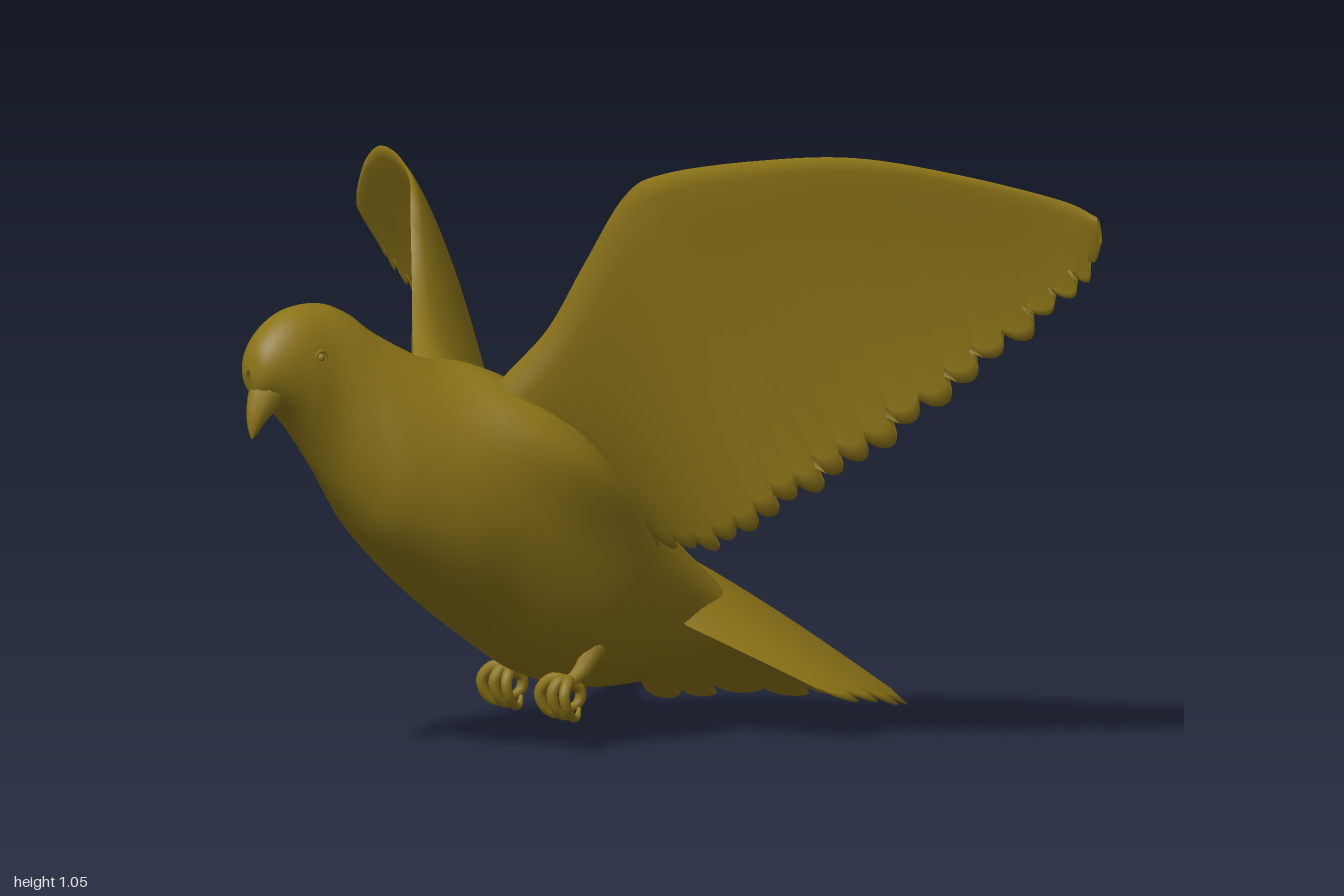
import * as THREE from 'three';

const material = new THREE.MeshStandardMaterial({ color: 0x8b7317, side: THREE.DoubleSide });
const V = (p) => new THREE.Vector3(...p);
const spline = (pts) => new THREE.CatmullRomCurve3(pts.map(V), false, 'catmullrom', 0.5);
const bell = (x, centre, width) => Math.exp(-(((x - centre) / width) ** 2));

// Smooth skin over rings: fn(u, v) gives a point, v wraps round
function loft(name, nu, nv, fn) {
  const pos = [], idx = [];
  for (let i = 0; i <= nu; i++)
    for (let j = 0; j < nv; j++) pos.push(...fn(i / nu, j / nv).toArray());
  for (let i = 0; i < nu; i++)
    for (let j = 0; j < nv; j++) {
      const a = i * nv + j, b = i * nv + (j + 1) % nv;
      idx.push(a, b, a + nv, b, b + nv, a + nv);
    }
  const g = new THREE.BufferGeometry();
  g.setAttribute('position', new THREE.Float32BufferAttribute(pos, 3));
  g.setIndex(idx);
  g.computeVertexNormals();
  const m = new THREE.Mesh(g, material);
  m.name = name;
  return m;
}

// Round limb along a path, radius given by a function of u
function limb(name, pts, radius, nu = 16, nv = 10) {
  const c = spline(pts), f = c.computeFrenetFrames(nu);
  return loft(name, nu, nv, (u, v) => {
    const i = Math.round(u * nu), a = -v * Math.PI * 2, r = radius(u);
    return c.getPointAt(u)
      .addScaledVector(f.normals[i], r * Math.cos(a))
      .addScaledVector(f.binormals[i], r * Math.sin(a));
  });
}

// Thin feathered sheet between a leading and a trailing edge, with scalloped feather tips
function feathered(name, lead, trail, { side = 1, feathers, notch, thick, camber, splay }) {
  const A = spline(lead), B = spline(trail), n = 18;
  return loft(name, feathers * 8, n * 2, (u, w) => {
    const a = A.getPoint(u), b = B.getPoint(u);
    const span = B.getPoint(Math.min(1, u + 0.01)).sub(B.getPoint(Math.max(0, u - 0.01)))
      .add(A.getTangent(u).multiplyScalar(0.02)).normalize();
    const chord = b.clone().sub(a), dir = chord.clone().normalize();
    const normal = span.clone().cross(dir).normalize().multiplyScalar(side);
    const v = 1 - Math.abs(1 - 2 * w), top = w < 0.5 ? 1 : -1;
    const f = (u * feathers) % 1, k = Math.floor(u * feathers);
    const uneven = 0.006 * Math.sin(k * 2.4);
    const cut = (notch(u) * (Math.sqrt(Math.sin(Math.PI * f)) - 1) + uneven) * v ** 8;
    const h = thick(u) * 2.5 * Math.sqrt(v) * (1 - v) + 0.002 * Math.min(1, v * 8);
    const ridge = 0.0012 * Math.sin(Math.PI * f) * v ** 4 * (1 - v) * 4;
    return a.addScaledVector(chord, v)
      .addScaledVector(dir, cut).addScaledVector(span, cut * splay(u))
      .addScaledVector(normal, top * h + ridge + camber(u) * 4 * v * (1 - v));
  });
}

export function createModel() {
  const bird = new THREE.Group();
  bird.name = 'bird';

  // Body and head: z, top, bottom, centre x, half width, narrowing towards the top
  const stations = [
    [0.65, 0.69, 0.675, 0.07, 0.006, 0], [0.638, 0.73, 0.645, 0.068, 0.034, 0],
    [0.605, 0.765, 0.62, 0.066, 0.054, 0], [0.56, 0.787, 0.578, 0.065, 0.066, 0],
    [0.5, 0.79, 0.495, 0.066, 0.073, 0], [0.45, 0.77, 0.425, 0.07, 0.096, 0.2],
    [0.4, 0.733, 0.363, 0.075, 0.124, 0.24], [0.3, 0.682, 0.268, 0.075, 0.162, 0.06],
    [0.2, 0.662, 0.19, 0.075, 0.18, -0.08], [0.1, 0.61, 0.123, 0.08, 0.18, -0.1],
    [0, 0.527, 0.09, 0.084, 0.172, -0.12], [-0.1, 0.428, 0.083, 0.082, 0.15, -0.17],
    [-0.2, 0.33, 0.09, 0.08, 0.118, -0.25], [-0.3, 0.24, 0.112, 0.08, 0.085, -0.25],
    [-0.4, 0.165, 0.14, 0.08, 0.02, 0]];
  const profile = spline(stations.map((s) => s.slice(0, 3)));
  const widths = spline(stations.map((s) => s.slice(3)));
  bird.add(loft('body', 84, 48, (u, v) => {
    const p = profile.getPoint(u), w = widths.getPoint(u), a = v * Math.PI * 2;
    const c = Math.cos(a), s = Math.sin(a);
    // shoulders swell out to meet the wings
    const shoulder = 0.062 * bell(p.x, 0.1, 0.14) * bell(s, 0.68, 0.42) * Math.tanh(c * 4);
    return new THREE.Vector3(w.x + w.y * c * (1 - w.z * s) + shoulder,
      (p.y + p.z) / 2 + (p.y - p.z) / 2 * s, p.x);
  }));

  // Beak
  bird.add(limb('beak', [[0.068, 0.668, 0.585], [0.074, 0.645, 0.615], [0.081, 0.61, 0.64], [0.086, 0.573, 0.654]],
    (u) => 0.042 * (1 - u) ** 0.75 + 0.001));

  // Eyes, each with a lid ring
  for (const s of [-1, 1]) {
    const eye = new THREE.Mesh(new THREE.SphereGeometry(0.007, 12, 8), material);
    eye.name = 'eye';
    eye.position.set(0.065 + s * 0.062, 0.708, 0.54);
    const lid = new THREE.Mesh(new THREE.TorusGeometry(0.011, 0.003, 6, 16), material);
    lid.name = 'eyelid';
    lid.position.copy(eye.position).setX(0.065 + s * 0.0635);
    lid.rotation.y = Math.PI / 2;
    bird.add(eye, lid);
  }

  // Wings, rooted deep in the shoulders, the left one raised higher
  const wing = {
    feathers: 24,
    notch: (u) => 0.016 + 0.026 * u,
    thick: (u) => 0.004 + 0.042 * (1 - u) ** 3 + 0.04 * Math.exp(-8 * u),
    camber: (u) => 0.02 * Math.sin(Math.PI * Math.min(1, u * 1.05)),
    splay: (u) => 0.7 * u,
  };
  bird.add(feathered('leftWing',
    [[0.09, 0.5, 0.25], [0.175, 0.635, 0.21], [0.24, 0.735, 0.15], [0.28, 0.85, 0.1], [0.32, 0.965, 0.045],
      [0.37, 1.005, 0], [0.5, 1.035, -0.1], [0.65, 1.05, -0.2], [0.8, 1.03, -0.31], [0.94, 0.995, -0.42], [1, 0.97, -0.455]],
    [[0.1, 0.3, 0], [0.2, 0.35, -0.055], [0.275, 0.34, -0.1], [0.355, 0.355, -0.145], [0.435, 0.415, -0.19],
      [0.52, 0.475, -0.24], [0.62, 0.545, -0.29], [0.73, 0.64, -0.35], [0.84, 0.74, -0.41], [0.94, 0.83, -0.455], [0.99, 0.9, -0.475]],
    { ...wing, side: 1 }));
  bird.add(feathered('rightWing',
    [[0.08, 0.5, 0.25], [-0.02, 0.625, 0.23], [-0.095, 0.695, 0.19], [-0.17, 0.77, 0.14], [-0.23, 0.86, 0.1],
      [-0.29, 0.92, 0.06], [-0.45, 0.93, -0.03], [-0.63, 0.915, -0.12], [-0.8, 0.86, -0.21], [-0.95, 0.785, -0.3], [-1, 0.755, -0.335]],
    [[0.07, 0.28, 0], [-0.03, 0.32, -0.05], [-0.12, 0.305, -0.09], [-0.2, 0.305, -0.125], [-0.29, 0.35, -0.15],
      [-0.4, 0.415, -0.185], [-0.51, 0.485, -0.22], [-0.64, 0.54, -0.265], [-0.78, 0.6, -0.315], [-0.91, 0.65, -0.347], [-0.985, 0.695, -0.36]],
    { ...wing, side: -1 }));

  // Fanned tail, arched across
  bird.add(feathered('tail',
    [[0, 0.235, -0.1], [0.02, 0.285, -0.095], [0.05, 0.33, -0.1], [0.08, 0.35, -0.11],
      [0.11, 0.33, -0.1], [0.125, 0.29, -0.09], [0.135, 0.245, -0.08]],
    [[-0.185, 0, -0.37], [-0.16, 0, -0.5], [-0.055, 0.002, -0.62], [0.08, 0.018, -0.66],
      [0.215, 0.022, -0.62], [0.325, 0.045, -0.5], [0.36, 0.07, -0.37]],
    {
      feathers: 12, notch: () => 0.03, splay: () => 0, camber: () => 0.004,
      thick: (u) => 0.018 * Math.sin(Math.PI * u),
    }));

  // Legs with three clenched front toes and one hind toe
  for (const [x, side] of [[0.19, 'left'], [0.02, 'right']]) {
    const foot = new THREE.Group();
    foot.name = side + 'Leg';
    foot.position.set(x, 0.095, 0.068);
    foot.add(limb('shank', [[0, 0.08, -0.055], [0, 0.06, -0.042], [0, 0.038, -0.025], [0, 0.02, 0]],
      (u) => 0.022 - 0.011 * u));
    for (const s of [-1, 0, 1])
      foot.add(limb('frontToe', [[0, 0.022, 0], [s * 0.024, 0.026, 0.02], [s * 0.036, 0.004, 0.036],
        [s * 0.034, -0.026, 0.026], [s * 0.026, -0.038, 0.004], [s * 0.018, -0.022, -0.008]],
      (u) => 0.0105 - 0.007 * u ** 3, 20, 8));
    foot.add(limb('hindToe', [[0, 0.022, 0], [0, 0.006, -0.022], [0, -0.014, -0.02], [0, -0.024, 0], [0, -0.014, 0.014]],
      (u) => 0.0105 - 0.007 * u ** 3, 16, 8));
    bird.add(foot);
  }
  return bird;
}
